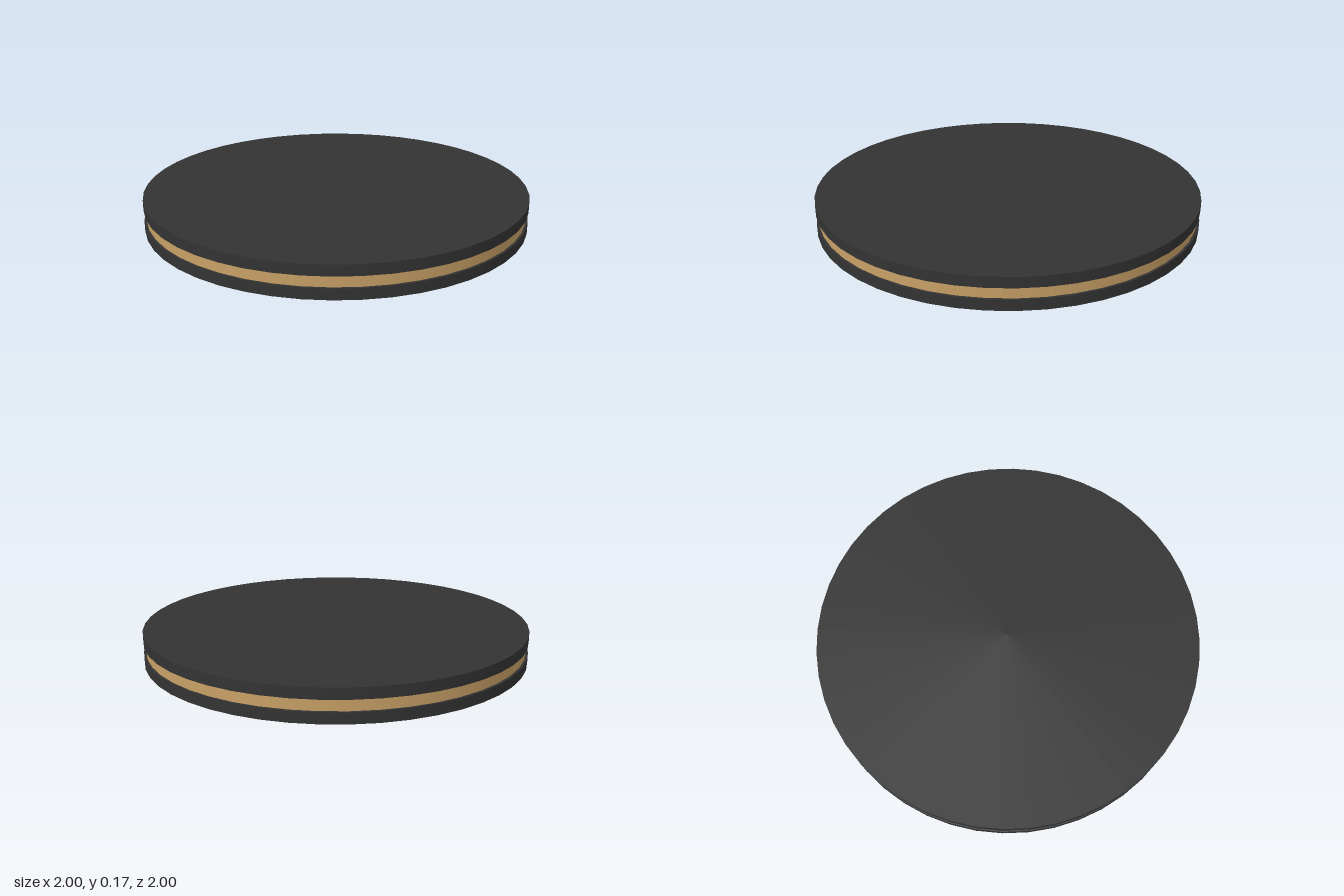
import * as THREE from 'three';
import { toCreasedNormals } from 'three/addons/utils/BufferGeometryUtils.js';

const SIDES = 48;
const HALF_STEP = Math.PI / SIDES;
const OUTER = 1 / Math.cos(HALF_STEP); // flats touch x = 1 and z = 1

export function createModel() {
  const lamp = new THREE.Group();
  lamp.name = 'flushCeilingLamp';

  const black = new THREE.MeshStandardMaterial({ color: 0x333333 });
  const wood = new THREE.MeshStandardMaterial({ color: 0xc8a066 });
  const frosted = new THREE.MeshStandardMaterial({ color: 0x9a9896 });

  const add = (name, geometry, material) => {
    const mesh = new THREE.Mesh(geometry, material);
    mesh.name = name;
    lamp.add(mesh);
  };

  // Solid disc between two heights
  const disc = (radius, y0, y1) =>
    new THREE.CylinderGeometry(radius, radius, y1 - y0, SIDES, 1, false, HALF_STEP)
      .translate(0, (y0 + y1) / 2, 0);

  // Closed ring of rectangular section
  const ring = (inner, outer, y0, y1) => {
    const section = [[inner, y0], [outer, y0], [outer, y1], [inner, y1], [inner, y0]]
      .map(([r, y]) => new THREE.Vector2(r, y));
    return toCreasedNormals(new THREE.LatheGeometry(section, SIDES, HALF_STEP), 0.6);
  };

  add('topPlate', disc(OUTER, 0.111, 0.166), black);
  add('woodBand', disc(0.99, 0.055, 0.111), wood);
  add('bottomRing', ring(0.948, OUTER, 0, 0.055), black);

  // Light panel, slightly recessed inside the bottom ring
  add('diffuser', disc(0.948, 0.015, 0.055), frosted);

  return lamp;
}
